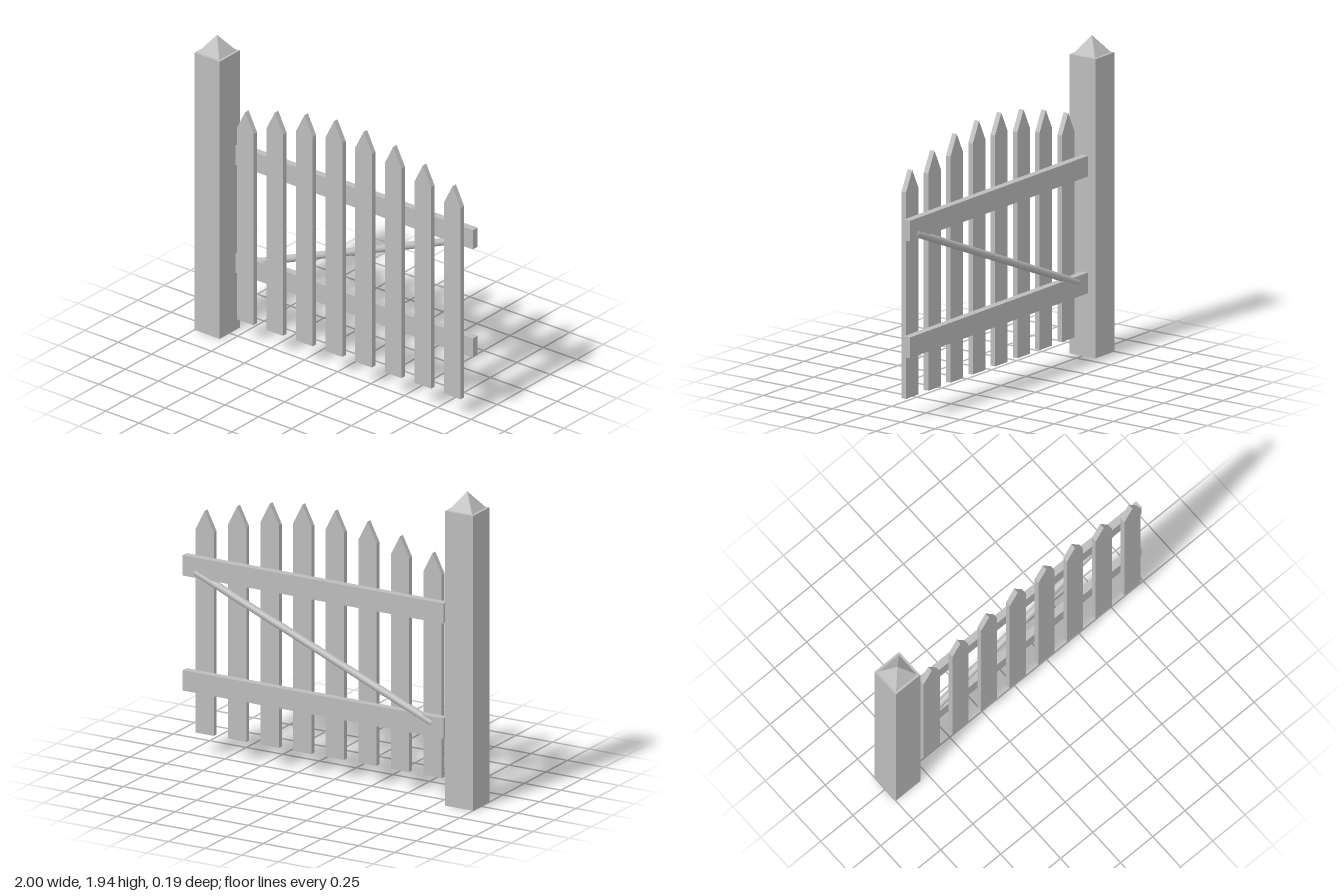
import * as THREE from 'three';

const PICKET_TOPS = [1.513, 1.58, 1.633, 1.663, 1.663, 1.633, 1.58, 1.513];

export function createModel() {
  const group = new THREE.Group();
  const wood = new THREE.MeshStandardMaterial({ color: 0xbcbcbc, side: THREE.DoubleSide });
  wood.name = 'grey wood';

  const add = (name, geometry, x, y, z) => {
    const mesh = new THREE.Mesh(geometry, wood);
    mesh.name = name;
    mesh.position.set(x, y, z);
    group.add(mesh);
    return mesh;
  };

  // Gate post: a square shell, open underneath
  const postGeometry = new THREE.BoxGeometry(0.19, 1.825, 0.19);
  const faces = Array.from(postGeometry.index.array);
  faces.splice(18, 6); // bottom face
  postGeometry.setIndex(faces);
  postGeometry.clearGroups();
  add('post', postGeometry, -0.905, 0.9125, 0);

  // Pyramid cap
  const cap = new THREE.ConeGeometry(0.081 * Math.SQRT2, 0.11, 4, 1).toNonIndexed();
  cap.rotateY(Math.PI / 4);
  cap.computeVertexNormals();
  add('postCap', cap, -0.905, 1.881, 0);

  // Pointed pickets, tallest in the middle
  const bottom = 0.13, half = 0.0625, thickness = 0.033;
  PICKET_TOPS.forEach((top, i) => {
    const shape = new THREE.Shape([
      new THREE.Vector2(-half, bottom),
      new THREE.Vector2(half, bottom),
      new THREE.Vector2(half, top - 0.124),
      new THREE.Vector2(0, top),
      new THREE.Vector2(-half, top - 0.124),
    ]);
    const geometry = new THREE.ExtrudeGeometry(shape, { depth: thickness, bevelEnabled: false });
    add(`picket${i + 1}`, geometry, -0.668 + i * 0.2222, 0, 0);
  });

  // Two horizontal rails behind the pickets
  const rail = new THREE.BoxGeometry(1.78, 0.126, 0.046);
  add('lowerRail', rail, 0.11, 0.463, -0.041);
  add('upperRail', rail, 0.11, 1.175, -0.041);

  // Round diagonal brace
  const start = new THREE.Vector3(-0.697, 0.481, -0.0475);
  const end = new THREE.Vector3(0.921, 1.143, -0.0475);
  const along = end.clone().sub(start);
  const mid = start.clone().add(end).multiplyScalar(0.5);
  const brace = add('diagonalBrace', new THREE.CylinderGeometry(0.0225, 0.0225, along.length(), 24), mid.x, mid.y, mid.z);
  brace.quaternion.setFromUnitVectors(new THREE.Vector3(0, 1, 0), along.normalize());

  return group;
}
